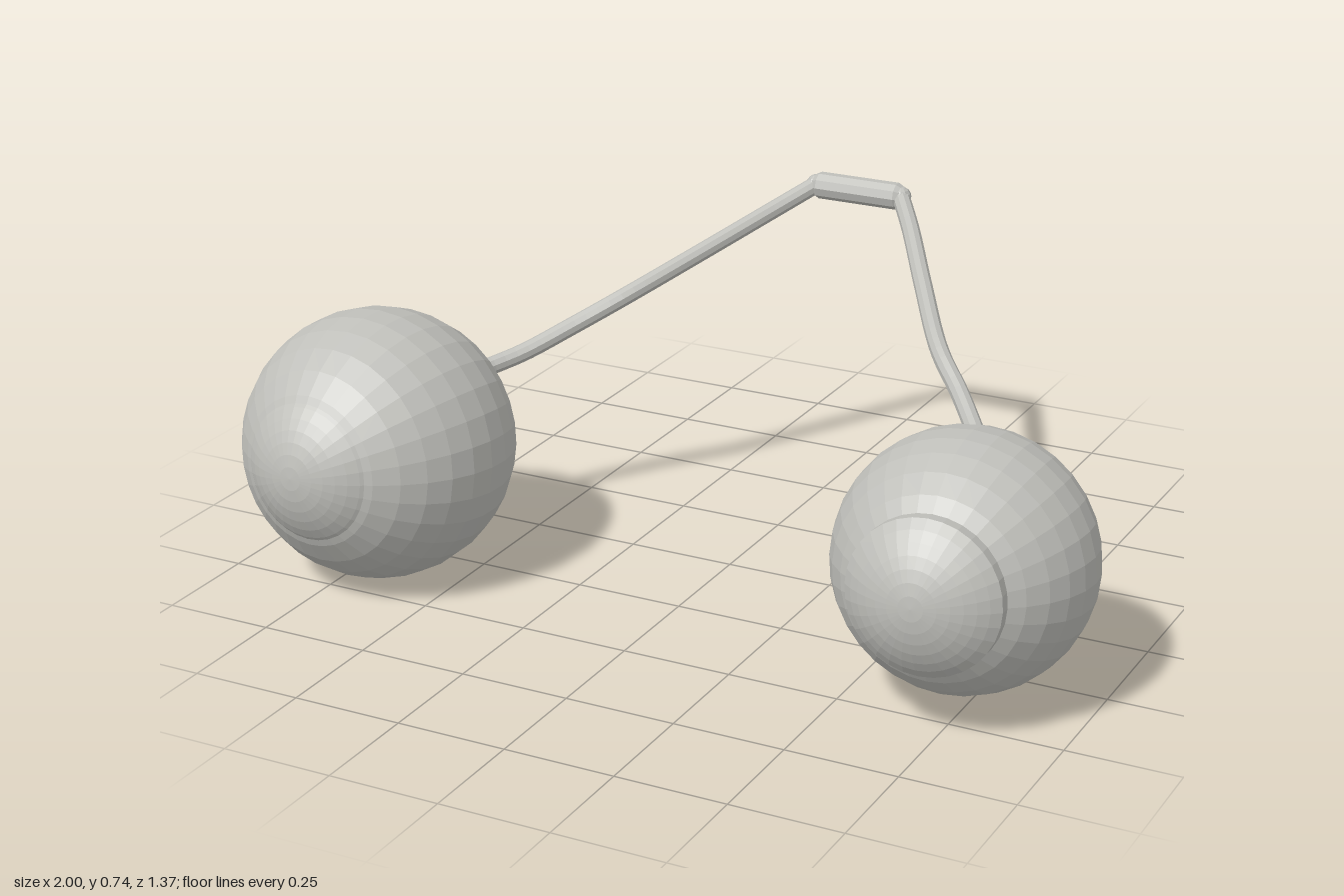
import * as THREE from 'three';

const grey = new THREE.MeshStandardMaterial({ color: 0xbfbfba, flatShading: true });
grey.name = 'plainGrey';

const MID = 0.01; // x of the bridge centre

function add(parent, name, geometry) {
  const mesh = new THREE.Mesh(geometry, grey);
  mesh.name = name;
  parent.add(mesh);
  return mesh;
}

// Ball with its pole facing forward, and a raised dome with a short rim
function makeEye(name, x, y, radius, turn) {
  const eye = new THREE.Group();
  eye.name = name;
  add(eye, 'eyeball', new THREE.SphereGeometry(radius, 32, 16).rotateX(Math.PI / 2));

  const rimRadius = 0.166, rimFront = 0.25, height = 0.073;
  const curve = (rimRadius ** 2 + height ** 2) / (2 * height);
  const sweep = Math.asin(rimRadius / curve);
  const profile = [new THREE.Vector2(rimRadius, rimFront - 0.032)];
  for (let i = 0; i <= 7; i++) {
    const a = sweep * (1 - i / 7);
    profile.push(new THREE.Vector2(curve * Math.sin(a), rimFront + height - curve * (1 - Math.cos(a))));
  }
  add(eye, 'iris', new THREE.LatheGeometry(profile, 32).rotateX(Math.PI / 2));

  eye.position.set(x, y, 0.36);
  eye.rotation.set(-0.08, turn, 0);
  return eye;
}

// Curved rod from the bridge end down into an eyeball
function makeArm(name, side) {
  const points = [
    [0.11, 0.712, -0.655], [0.175, 0.668, -0.565], [0.28, 0.597, -0.4],
    [0.40, 0.517, -0.22], [0.485, 0.462, -0.135], [0.565, 0.413, -0.04],
    [0.615, 0.393, 0.03], [0.645, 0.384, 0.11],
  ].map(([x, y, z]) => new THREE.Vector3(MID + side * x, y, z));
  const arm = new THREE.Group();
  arm.name = name;
  const path = new THREE.CatmullRomCurve3(points);
  add(arm, 'rod', new THREE.TubeGeometry(path, 32, 0.021, 10));
  const elbow = add(arm, 'elbow', new THREE.SphereGeometry(0.025, 10, 8));
  elbow.position.copy(points[0]);
  return arm;
}

export function createModel() {
  const model = new THREE.Group();
  model.name = 'eyesOnHeadband';

  model.add(makeEye('rightEye', -0.695, 0.309, 0.305, -0.06));
  model.add(makeEye('leftEye', 0.72, 0.309, 0.278, 0.05));
  model.add(makeArm('rightArm', -1));
  model.add(makeArm('leftArm', 1));

  // Thicker bridge sleeve with tapered ends
  const sleeve = [[0, -0.128], [0.018, -0.126], [0.032, -0.1], [0.032, 0], [0.032, 0.1], [0.018, 0.126], [0, 0.128]]
    .map(([r, y]) => new THREE.Vector2(r, y));
  const bridge = add(model, 'bridge', new THREE.LatheGeometry(sleeve, 10).rotateZ(-Math.PI / 2));
  bridge.position.set(MID, 0.712, -0.656);

  return model;
}
